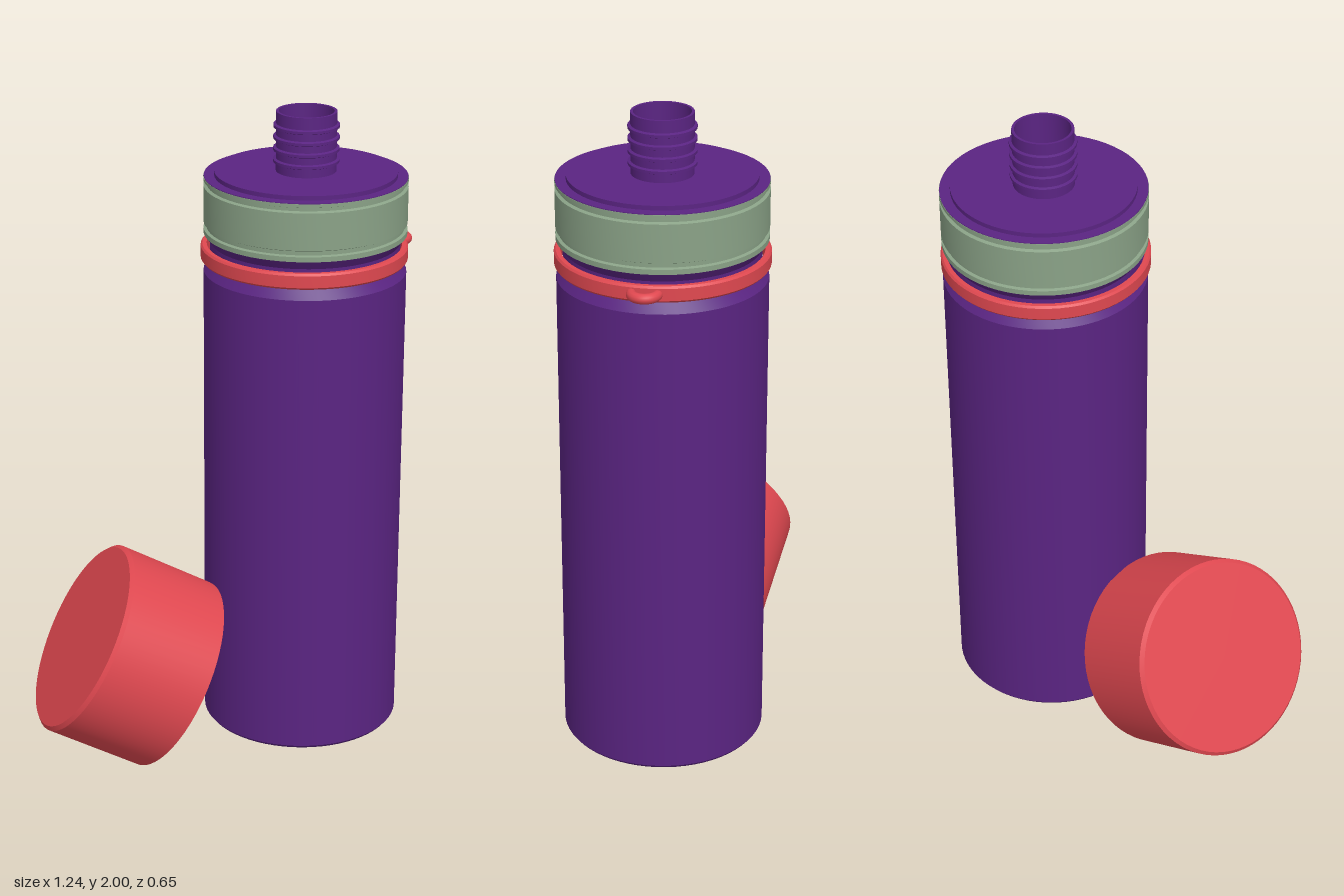
import * as THREE from 'three';
import { toCreasedNormals } from 'three/addons/utils/BufferGeometryUtils.js';

const purple = new THREE.MeshStandardMaterial({ color: 0x5a2482 });
const red = new THREE.MeshStandardMaterial({ color: 0xe04850 });
const green = new THREE.MeshStandardMaterial({ color: 0x8aa287 });

// Turned part from a [radius, height] profile, outer side listed upward.
function turned(name, profile, material, segments = 64) {
  const points = profile.map(([r, y]) => new THREE.Vector2(r, y));
  const geometry = toCreasedNormals(new THREE.LatheGeometry(points, segments), 0.45);
  const mesh = new THREE.Mesh(geometry, material);
  mesh.name = name;
  return mesh;
}

export function createModel() {
  const model = new THREE.Group();
  model.name = 'bottleWithCap';

  const bottle = new THREE.Group();
  bottle.name = 'bottle';
  bottle.position.set(0.268, 0, -0.017);
  model.add(bottle);

  // Body with bevelled base and a recessed neck
  bottle.add(turned('body', [
    [0, 0.045], [0.297, 0.045], [0.304, 0.054], [0.304, 1.515],
    [0.284, 1.545], [0.284, 1.605], [0.303, 1.635], [0, 1.635],
  ], purple));

  // Grooved collar with a flange at each end
  bottle.add(turned('collar', [
    [0.26, 1.632], [0.304, 1.632], [0.304, 1.647], [0.295, 1.65], [0.295, 1.662],
    [0.304, 1.666], [0.304, 1.778], [0.295, 1.782], [0.295, 1.792],
    [0.304, 1.795], [0.304, 1.805], [0.26, 1.805],
  ], green));

  // Lid with a raised disc
  bottle.add(turned('lid', [
    [0.303, 1.8], [0.303, 1.807], [0.272, 1.807], [0.272, 1.82], [0, 1.82],
  ], purple));

  // Hollow threaded spout
  bottle.add(turned('spout', [
    [0.09, 1.815], [0.09, 2], [0.082, 2], [0.082, 1.825], [0, 1.825],
  ], purple, 40));
  for (let i = 0; i < 4; i++) {
    const y = 1.852 + i * 0.035;
    bottle.add(turned('spoutThread', [
      [0.088, y - 0.008], [0.098, y - 0.004], [0.098, y + 0.004], [0.088, y + 0.008],
    ], purple, 40));
  }

  // Loose strap ring around the neck
  const strap = turned('strapRing', [
    [0.292, 1.55], [0.305, 1.55], [0.31, 1.556], [0.31, 1.592], [0.305, 1.598],
    [0.292, 1.598], [0.292, 1.55],
  ], red);
  strap.position.x = -0.003;
  bottle.add(strap);

  // Carrying loop, a half ring lying flat
  const loop = new THREE.Mesh(new THREE.TorusGeometry(0.036, 0.015, 12, 24, Math.PI), red);
  loop.name = 'strapLoop';
  loop.rotation.set(Math.PI / 2, 0, -Math.PI / 2);
  loop.position.set(0.302, 1.574, 0);
  bottle.add(loop);

  // Hollow cap leaning against the bottle, open end down towards it
  const cap = turned('cap', [
    [0, 0.012], [0.288, 0.012], [0.295, 0.02], [0.295, 0.325], [0.303, 0.325],
    [0.303, 0.011], [0.292, 0], [0, 0],
  ].reverse(), red);
  cap.position.set(-0.466, 0.424, -0.025);
  const axis = new THREE.Vector3(0.859, -0.488, 0.154).normalize();
  cap.quaternion.setFromUnitVectors(new THREE.Vector3(0, 1, 0), axis);
  model.add(cap);

  return model;
}
